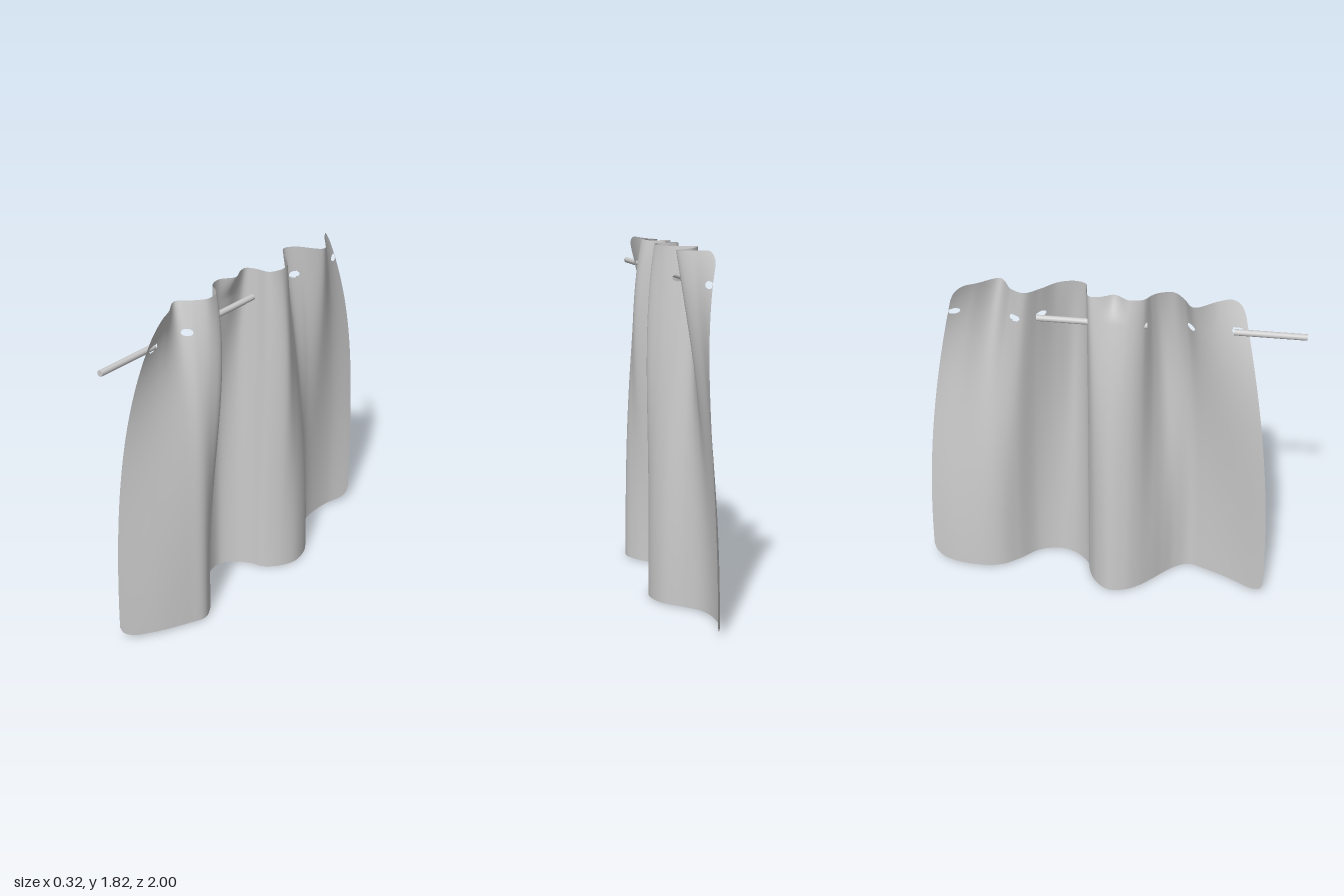
import * as THREE from 'three';

const HEIGHT = 1.82, ROD_Y = 1.66, ROD_X = -0.02;
const COLS = 300, ROWS = 110;

// Folds of the cloth from front to back: [x top, x middle, x hem, z top, z hem]
const folds = [
  [0.05, -0.065, -0.1, 0.67, 0.89], [0, -0.02, 0.01, 0.55, 0.71], [-0.07, 0.03, 0.085, 0.44, 0.55],
  [0, 0.075, 0.115, 0.385, 0.46], [0.05, 0.095, 0.08, 0.33, 0.38], [0.04, 0.095, 0.025, 0.26, 0.32],
  [0.01, 0.045, -0.04, 0.222, 0.26], [-0.04, -0.055, -0.105, 0.19, 0.19], [-0.06, -0.105, -0.145, 0.12, 0.12],
  [-0.035, -0.115, -0.155, 0.03, 0.03], [-0.05, -0.085, -0.1, -0.07, -0.045], [0, -0.01, -0.02, -0.1, -0.09],
  [0.075, 0.085, 0.055, -0.112, -0.112], [0.1, 0.145, 0.13, -0.18, -0.19], [0.075, 0.11, 0.16, -0.26, -0.29],
  [0, 0.045, 0.125, -0.33, -0.41], [-0.06, -0.02, 0.03, -0.4, -0.51], [-0.02, -0.01, -0.035, -0.475, -0.6],
  [0.09, 0.03, -0.06, -0.55, -0.71], [0.01, 0.01, -0.05, -0.66, -0.86], [-0.06, 0.015, 0, -0.76, -1],
];
const toCurve = (xi, zAt) => new THREE.CatmullRomCurve3(
  folds.map((p) => new THREE.Vector3(p[xi], 0, zAt(p))), false, 'catmullrom', 0.5);
const topCurve = toCurve(0, (p) => p[3]);
const middleCurve = toCurve(1, (p) => (p[3] + p[4]) / 2);
const hemCurve = toCurve(2, (p) => p[4]);

// Point of the hanging cloth at u across and height y
function clothPoint(u, y) {
  const f = 1 - Math.pow(THREE.MathUtils.clamp(y / HEIGHT, 0, 1), 2.2);
  const point = topCurve.getPoint(u).multiplyScalar((1 - f) * (1 - 2 * f))
    .addScaledVector(middleCurve.getPoint(u), 4 * f * (1 - f))
    .addScaledVector(hemCurve.getPoint(u), f * (2 * f - 1));
  point.y = y;
  // small pinch of the heading above the rod
  point.x += 0.025 * Math.exp(-(((point.z - 0.05) / 0.045) ** 2)) * THREE.MathUtils.smoothstep(y, 1.68, HEIGHT);
  return point;
}

// Eyelets: position across the cloth and local stretch, found from z
function makeHole(z) {
  let lo = 0, hi = 1;
  for (let i = 0; i < 30; i++) {
    const mid = (lo + hi) / 2;
    if (clothPoint(mid, ROD_Y).z > z) lo = mid; else hi = mid;
  }
  const e = 0.005, u0 = Math.max(lo - e, 0), u1 = Math.min(lo + e, 1);
  const stretch = clothPoint(u0, ROD_Y).distanceTo(clothPoint(u1, ROD_Y)) / (u1 - u0);
  return { u: lo, ru: 0.032 / stretch, ry: 0.018 };
}

const rounded = (d, r) => (d < r ? r - Math.sqrt(r * r - (r - d) ** 2) : 0);

function clothGeometry() {
  const holes = [0.66, 0.425, -0.335, -0.46, -0.775].map(makeHole);
  const grid = [], positions = [], index = [];
  const holeDistance = (h, u, y) => Math.hypot((u - h.u) / h.ru, (y - ROD_Y) / h.ry);

  for (let i = 0; i <= COLS; i++) {
    // columns, with rounded corners at both ends
    const s = i / COLS, d = Math.min(s, 1 - s) * 2.6;
    const y0 = rounded(d, 0.07) + 0.02 * Math.abs(2 * s - 1) ** 3;
    const y1 = HEIGHT - rounded(d, 0.08) - 0.006 * (1 - Math.cos(s * Math.PI * 10)) * Math.abs(2 * s - 1);
    for (let j = 0; j <= ROWS; j++) {
      let u = s, y = y0 + (y1 - y0) * (1 - Math.pow(1 - j / ROWS, 1.6));
      // pull the vertices next to an eyelet onto its rim
      for (const h of holes) {
        const r = holeDistance(h, u, y);
        if (r > 0.76 && r < 1.24) {
          u = THREE.MathUtils.clamp(h.u + (u - h.u) / r, 0, 1);
          y = ROD_Y + (y - ROD_Y) / r;
        }
      }
      grid.push([u, y]);
      positions.push(...clothPoint(u, y).toArray());
    }
  }

  // faces, leaving the eyelets open
  const addFace = (...tri) => {
    const u = tri.reduce((t, k) => t + grid[k][0], 0) / 3;
    const y = tri.reduce((t, k) => t + grid[k][1], 0) / 3;
    if (!holes.some((h) => holeDistance(h, u, y) < 0.98)) index.push(...tri);
  };
  for (let i = 0; i < COLS; i++) {
    for (let j = 0; j < ROWS; j++) {
      const a = i * (ROWS + 1) + j, b = a + ROWS + 1;
      addFace(a, b, b + 1);
      addFace(a, b + 1, a + 1);
    }
  }
  const geometry = new THREE.BufferGeometry();
  geometry.setAttribute('position', new THREE.Float32BufferAttribute(positions, 3));
  geometry.setIndex(index);
  geometry.computeVertexNormals();
  return geometry;
}

export function createModel() {
  const model = new THREE.Group();
  model.name = 'curtain';

  const cloth = new THREE.Mesh(
    clothGeometry(),
    new THREE.MeshStandardMaterial({ color: 0xcccccc, side: THREE.DoubleSide }),
  );
  cloth.name = 'cloth';
  model.add(cloth);

  // Rod, showing as two lengths threaded through the cloth
  const rod = new THREE.Group();
  rod.name = 'rod';
  const rodMaterial = new THREE.MeshStandardMaterial({ color: 0xcccccc });
  for (const [name, front, back] of [['frontRod', 1, 0.64], ['middleRod', 0.21, -0.35]]) {
    const piece = new THREE.Mesh(new THREE.CylinderGeometry(0.016, 0.016, front - back, 20), rodMaterial);
    piece.name = name;
    piece.rotation.x = Math.PI / 2;
    piece.position.set(ROD_X, ROD_Y, (front + back) / 2);
    rod.add(piece);
  }
  model.add(rod);
  return model;
}
